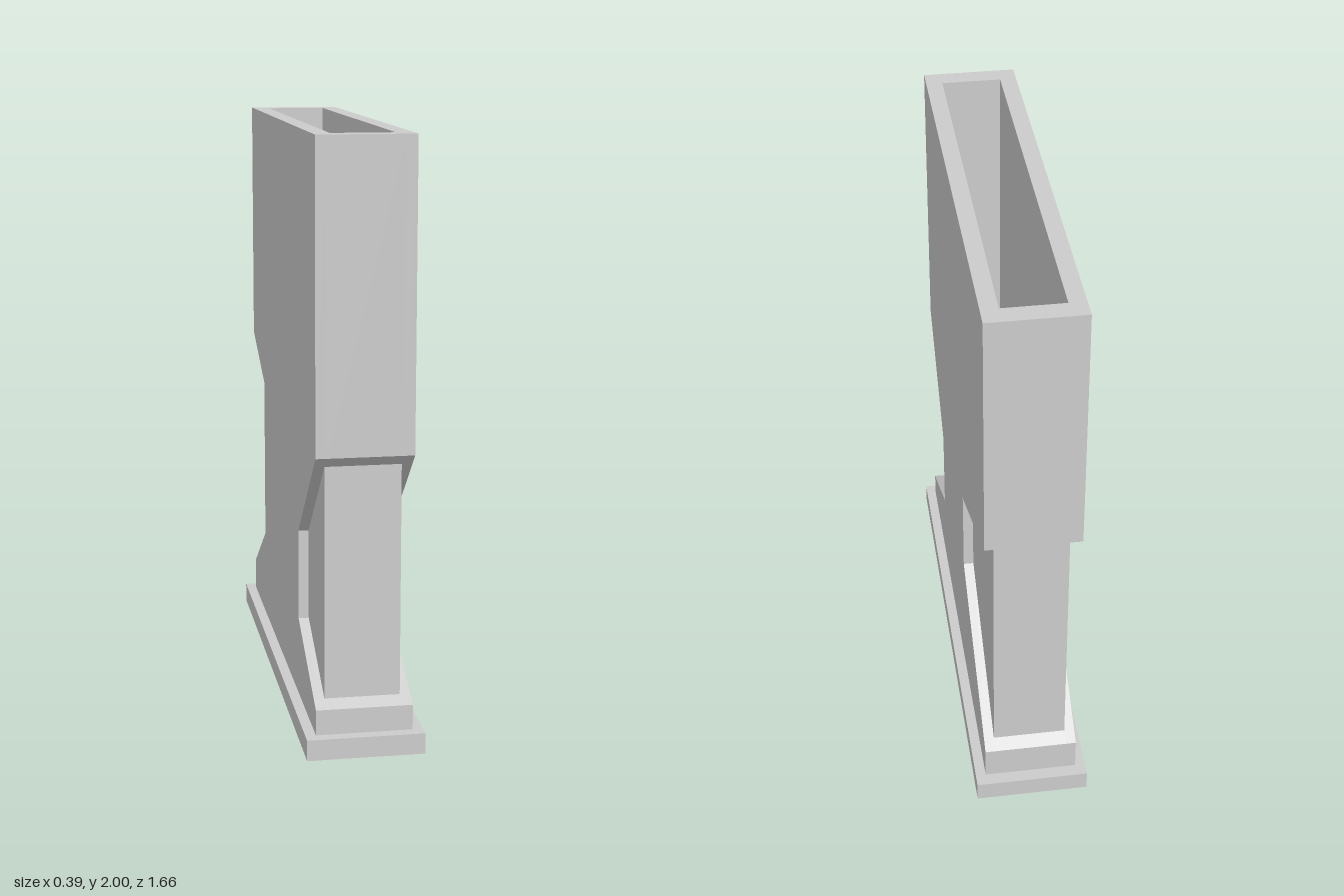
import * as THREE from 'three';

const material = new THREE.MeshStandardMaterial({ color: 0xcccccc, flatShading: true });
const CORE_X = 0.125, CORE_Z = 0.745, OUT_X = 0.16, BASE = 0.07;

const toShape = pts => new THREE.Shape(pts.map(([a, b]) => new THREE.Vector2(a, b)));
const rect = (x, z) => [[-x, -z], [x, -z], [x, z], [-x, z]];

// Extrudes a side profile of [z, y] points across x, centred on cx
function acrossX(name, pts, width, cx = 0) {
  const geo = new THREE.ExtrudeGeometry(toShape(pts), { depth: width, bevelEnabled: false });
  geo.translate(0, 0, -width / 2).rotateY(-Math.PI / 2).translate(cx, 0, 0);
  const mesh = new THREE.Mesh(geo, material);
  mesh.name = name;
  return mesh;
}

export function createModel() {
  const group = new THREE.Group();
  group.name = 'hollowCase';

  // Base plate
  const base = new THREE.Mesh(new THREE.BoxGeometry(0.39, BASE, 1.66), material);
  base.name = 'basePlate';
  base.position.y = BASE / 2;
  group.add(base);

  // Hollow inner tube, open at the top
  const tube = toShape(rect(CORE_X, CORE_Z));
  tube.holes.push(new THREE.Path(toShape(rect(0.103, 0.715)).getPoints().reverse()));
  const coreGeo = new THREE.ExtrudeGeometry(tube, { depth: 2 - BASE, bevelEnabled: false });
  coreGeo.rotateX(-Math.PI / 2).translate(0, BASE, 0);
  const core = new THREE.Mesh(coreGeo, material);
  core.name = 'innerTube';
  group.add(core);

  // Raised side panels with the grip notches cut out
  const panel = [
    [-0.785, BASE], [0.79, BASE], [0.79, 0.155], [0.41, 0.34], [0.41, 0.65], [0.785, 0.99],
    [0.785, 2], [-0.785, 2], [-0.785, 1.125], [-0.21, 0.865], [-0.21, 0.555], [-0.785, 0.185],
  ];
  for (const [name, s] of [['leftPanel', 1], ['rightPanel', -1]])
    group.add(acrossX(name, panel, OUT_X - CORE_X, s * (OUT_X + CORE_X) / 2));

  // End walls joining the panels above and below the notches
  const w = CORE_X * 2;
  group.add(
    acrossX('frontUpperWall', [[CORE_Z, 0.954], [0.785, 0.99], [0.785, 2], [CORE_Z, 2]], w),
    acrossX('frontLowerWall', [[CORE_Z, BASE], [0.79, BASE], [0.79, 0.155], [CORE_Z, 0.177]], w),
    acrossX('backUpperWall', [[-0.785, 1.125], [-CORE_Z, 1.107], [-CORE_Z, 2], [-0.785, 2]], w),
    acrossX('backLowerWall', [[-0.785, BASE], [-CORE_Z, BASE], [-CORE_Z, 0.211], [-0.785, 0.185]], w),
  );
  return group;
}
